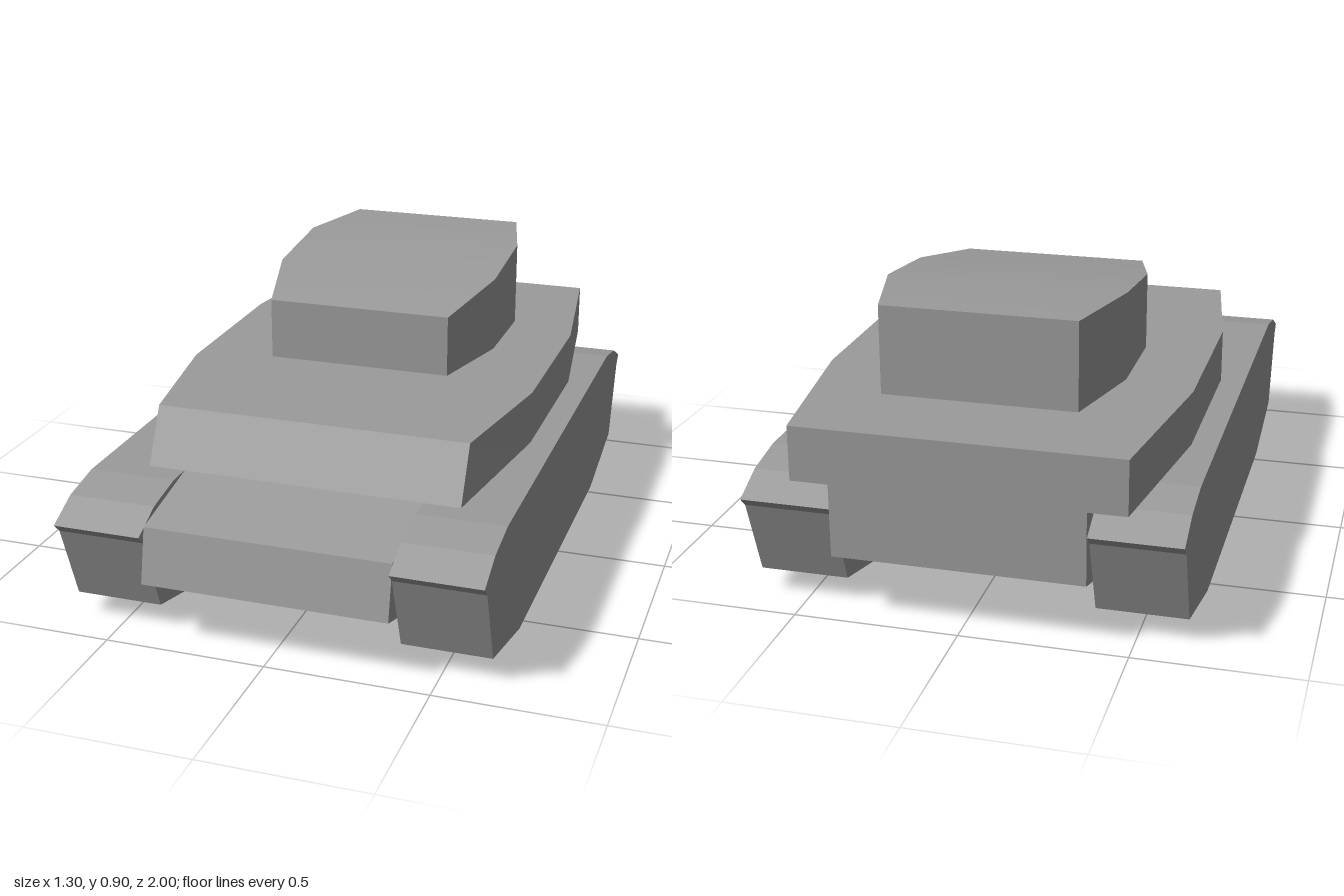
import * as THREE from 'three';
import { toCreasedNormals } from 'three/addons/utils/BufferGeometryUtils.js';

const material = new THREE.MeshStandardMaterial({ color: 0x9b9b9b });

function addMesh(parent, geometry, name) {
  const mesh = new THREE.Mesh(geometry, material);
  mesh.name = name;
  parent.add(mesh);
  return mesh;
}

// Side profile of [z, y] points, extruded across x and centred
function profileGeometry(points, width) {
  const shape = new THREE.Shape(points.map(([z, y]) => new THREE.Vector2(z, y)));
  const geometry = new THREE.ExtrudeGeometry(shape, { depth: width, bevelEnabled: false });
  return geometry.translate(0, 0, -width / 2).rotateY(-Math.PI / 2);
}

// Loft of rectangular sections, back to front: [halfWidth, zBottom, yBottom, zTop, yTop]
function loftGeometry(sections) {
  const positions = [];
  const index = [];
  const quad = (a, b, c, d) => index.push(a, b, c, a, c, d);
  for (const [w, zb, yb, zt, yt] of sections) {
    positions.push(-w, yb, zb, w, yb, zb, w, yt, zt, -w, yt, zt);
  }
  for (let i = 0; i < sections.length - 1; i++) {
    for (let j = 0; j < 4; j++) {
      const k = (j + 1) % 4;
      quad(i * 4 + j, i * 4 + k, i * 4 + 4 + k, i * 4 + 4 + j);
    }
  }
  const last = (sections.length - 1) * 4;
  quad(3, 2, 1, 0);
  quad(last, last + 1, last + 2, last + 3);
  const geometry = new THREE.BufferGeometry();
  geometry.setAttribute('position', new THREE.Float32BufferAttribute(positions, 3));
  geometry.setIndex(index);
  // Blend only the gentle roof bends; every other edge stays sharp
  return toCreasedNormals(geometry, THREE.MathUtils.degToRad(7));
}

export function createModel() {
  const model = new THREE.Group();
  model.name = 'tank';

  // Lower hull between the tracks
  addMesh(model, profileGeometry([
    [1, 0.205], [0.965, 0.373], [0.67, 0.43], [-1, 0.43],
    [-1, 0.205], [-0.79, 0.14], [0.79, 0.14],
  ], 0.753), 'lowerHull');

  // Track units, symmetrical front to back
  const half = [[0.55, 0], [0.88, 0.077], [0.97, 0.323], [1, 0.353], [0.89, 0.405], [0.75, 0.43]];
  const outline = [...half, ...half.map(([z, y]) => [-z, y]).reverse()];
  for (const [side, name] of [[1, 'leftTrack'], [-1, 'rightTrack']]) {
    addMesh(model, profileGeometry(outline, 0.272), name).position.x = side * 0.513;
  }

  // Upper hull with tapered ends and a sloping front plate
  addMesh(model, loftGeometry([
    [0.492, -1, 0.43, -1, 0.598],
    [0.57, -0.45, 0.43, -0.45, 0.598],
    [0.57, 0.13, 0.43, 0.13, 0.598],
    [0.492, 0.673, 0.43, 0.587, 0.598],
  ]), 'upperHull');

  // Turret, floating just above the deck, with its roof falling to the front
  addMesh(model, loftGeometry([
    [0.295, -0.762, 0.625, -0.762, 0.896],
    [0.37, -0.465, 0.625, -0.465, 0.896],
    [0.37, -0.16, 0.625, -0.16, 0.864],
    [0.295, 0.137, 0.625, 0.137, 0.818],
  ]), 'turret');

  return model;
}
